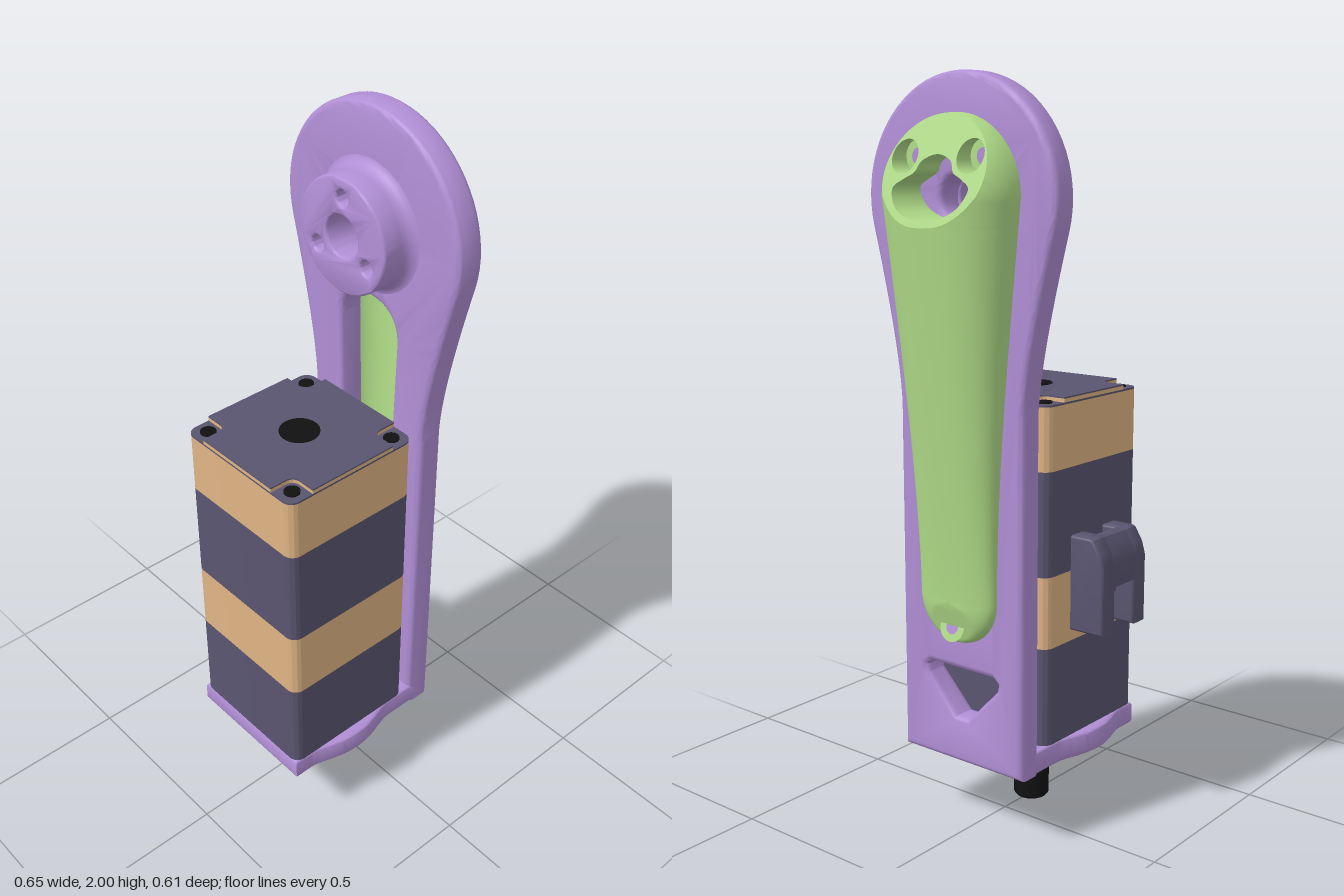
import * as THREE from 'three';
import { toCreasedNormals, mergeVertices } from 'three/addons/utils/BufferGeometryUtils.js';

const mat = (color) => new THREE.MeshStandardMaterial({ color, side: THREE.DoubleSide });
const V2 = (x, y) => new THREE.Vector2(x, y);

export function createModel() {
  const root = new THREE.Group();
  const purple = mat(0xb18fd6), green = mat(0xb0dc88), tan = mat(0xe0b585);
  const dark = mat(0x5a5570), black = mat(0x111111), gold = mat(0xc9a050);

  const add = (name, geo, material, parent = root) => {
    const m = new THREE.Mesh(geo, material);
    m.name = name;
    parent.add(m);
    return m;
  };
  const group = (name) => {
    const g = new THREE.Group();
    g.name = name;
    root.add(g);
    return g;
  };
  const extrude = (shape, depth, b) => toCreasedNormals(new THREE.ExtrudeGeometry(shape, {
    depth: depth - 2 * b, curveSegments: 20, bevelEnabled: b > 0, bevelSize: b,
    bevelThickness: b, bevelOffset: -b, bevelSegments: 4,
  }).translate(0, 0, b), 0.6);
  // outline in (-z, y), thickness along x
  const panel = (shape, x0, x1, b = 0) => extrude(shape, x1 - x0, b).rotateY(Math.PI / 2).translate(x0, 0, 0);
  // outline in (x, -z), thickness along y
  const slab = (shape, y0, y1, b = 0) => extrude(shape, y1 - y0, b).rotateX(-Math.PI / 2).translate(0, y0, 0);
  const circle = (x, y, r) => new THREE.Path().absarc(x, y, r, 0, Math.PI * 2);
  const disc = (x, y, r) => new THREE.Shape(circle(x, y, r).getPoints(24));

  // ---- bracket ----
  const bracket = group('bracket');
  const cy = 1.695, R = 0.305, a = -0.26;
  const plate = new THREE.Shape();
  plate.moveTo(-0.205, 0.2).lineTo(0.205, 0.2).lineTo(0.205, 1.15);
  plate.quadraticCurveTo(0.205, 1.28, R * Math.cos(a), cy + R * Math.sin(a));
  plate.absarc(0, cy, R, a, Math.PI - a);
  plate.quadraticCurveTo(-0.205, 1.28, -0.205, 1.15);
  const slot = new THREE.Path().moveTo(-0.08, 0.7).lineTo(0.08, 0.7).lineTo(0.1, 1.4);
  slot.quadraticCurveTo(0.1, 1.5, 0, 1.5).quadraticCurveTo(-0.1, 1.5, -0.1, 1.4);
  const triangle = new THREE.Path([V2(-0.02, 0.328), V2(0.02, 0.328), V2(0.118, 0.43), V2(0.122, 0.452),
    V2(0.105, 0.465), V2(-0.105, 0.465), V2(-0.122, 0.452), V2(-0.118, 0.43)]);
  plate.holes.push(slot, triangle, circle(0, cy, 0.055));
  add('backPlate', panel(plate, 0.11, 0.188, 0.018), purple, bracket);

  const boss = disc(0, cy, 0.15);
  boss.holes.push(circle(0, cy, 0.055));
  for (let i = 0; i < 3; i++) {
    const t = Math.PI / 2 + i * Math.PI * 2 / 3;
    boss.holes.push(circle(0.1 * Math.cos(t), cy + 0.1 * Math.sin(t), 0.02));
  }
  add('pivotBoss', panel(boss, 0.02, 0.115, 0.008), purple, bracket);
  const fillet = [0, 1, 2, 3, 4, 5, 6].map((i) => {
    const t = i / 6 * Math.PI / 2;
    return V2(0.185 - 0.035 * Math.cos(t), 0.077 + 0.035 * Math.sin(t));
  });
  add('bossFillet', new THREE.LatheGeometry(fillet, 48).rotateZ(-Math.PI / 2).translate(0, cy, 0), purple, bracket);

  const cx = -0.12;
  const base = new THREE.Shape();
  base.moveTo(-0.325, -0.205).lineTo(-0.27, -0.205);
  base.bezierCurveTo(-0.23, -0.205, -0.19, -0.235, cx, -0.235);
  base.bezierCurveTo(-0.05, -0.235, -0.01, -0.205, 0.03, -0.205);
  base.lineTo(0.165, -0.205).lineTo(0.165, 0.205).lineTo(0.03, 0.205);
  base.bezierCurveTo(-0.01, 0.205, -0.05, 0.235, cx, 0.235);
  base.bezierCurveTo(-0.19, 0.235, -0.23, 0.205, -0.27, 0.205);
  base.lineTo(-0.325, 0.205);
  base.holes.push(circle(cx, 0, 0.155));
  for (const sx of [-1, 1]) for (const sz of [-1, 1]) base.holes.push(circle(cx + sx * 0.16, sz * 0.16, 0.02));
  add('basePlate', slab(base, 0.2, 0.265, 0.012), purple, bracket);

  // ---- motor ----
  const motor = group('motor');
  const h = 0.205, r = 0.03;
  const body = new THREE.Shape();
  const notched = new THREE.Shape();
  [[1, 1], [-1, 1], [-1, -1], [1, -1]].forEach(([sx, sz], i) => {
    const t = i * Math.PI / 2;
    body.absarc(cx + sx * (h - r), sz * (h - r), r, t, t + Math.PI / 2);
    // corner pocket, walked counter-clockwise
    const arc = (rx, rz) => [cx + sx * (h - rx), sz * (h - rz)];
    const [p, q] = sx * sz > 0 ? [arc(0, 0.072), arc(0.072, 0)] : [arc(0.072, 0), arc(0, 0.072)];
    const [p2, q2] = sx * sz > 0 ? [arc(0.045, 0.072), arc(0.072, 0.045)] : [arc(0.072, 0.045), arc(0.045, 0.072)];
    if (i) notched.lineTo(...p); else notched.moveTo(...p);
    notched.lineTo(...p2).quadraticCurveTo(...arc(0.072, 0.072), ...q2).lineTo(...q);
    add('cornerScrew', new THREE.CylinderGeometry(0.021, 0.021, 0.006, 24)
      .translate(cx + sx * 0.165, 1.184, sz * 0.165), black, motor);
  });
  [[0.265, 0.535, dark], [0.535, 0.73, tan], [0.73, 1.01, dark], [1.01, 1.178, tan], [1.178, 1.183, dark]]
    .forEach(([y0, y1, m], i) => add('motorBand' + (i + 1), slab(body, y0, y1), m, motor));
  add('topRim', slab(notched, 1.183, 1.193), tan, motor);
  add('topFace', slab(notched, 1.193, 1.197), dark, motor);
  add('topBore', new THREE.CylinderGeometry(0.053, 0.053, 0.004, 40).translate(cx, 1.197, 0), black, motor);
  const ring = disc(cx, 0, 0.148);
  ring.holes.push(circle(cx, 0, 0.115));
  add('pilotRing', slab(ring, 0.212, 0.268), gold, motor);
  const hub = disc(cx, 0, 0.115);
  for (const t of [0.5, 2.6, 4.7]) hub.holes.push(circle(cx + 0.085 * Math.cos(t), 0.085 * Math.sin(t), 0.012));
  add('pilotHub', slab(hub, 0.222, 0.268), dark, motor);
  const shaft = [V2(0, 0), V2(0.044, 0), V2(0.05, 0.008), V2(0.05, 0.27)];
  add('shaft', toCreasedNormals(new THREE.LatheGeometry(shaft, 40), 0.5).translate(cx, 0, 0), black, motor);

  // ---- connector on the rear face ----
  const connector = group('connector');
  const side = new THREE.Shape([V2(0.2, 0.565), V2(0.308, 0.565), V2(0.308, 0.75), V2(0.298, 0.785),
    V2(0.275, 0.822), V2(0.265, 0.826), V2(0.2, 0.826)]);
  const lip = new THREE.Shape([V2(0.25, 0.69), V2(0.308, 0.69), V2(0.308, 0.75), V2(0.298, 0.785),
    V2(0.275, 0.822), V2(0.265, 0.826), V2(0.25, 0.826)]);
  add('rightWall', panel(side, -0.223, -0.163, 0.008), dark, connector);
  add('leftWall', panel(side, -0.08, -0.02, 0.008), dark, connector);
  add('frontLip', panel(lip, -0.172, -0.071), dark, connector);
  for (const x of [-0.13, -0.11]) {
    add('pin', new THREE.BoxGeometry(0.006, 0.13, 0.015).translate(x, 0.68, -0.24), gold, connector);
  }
  add('pinSeat', new THREE.BoxGeometry(0.09, 0.02, 0.05).translate(-0.1215, 0.66, -0.228), dark, connector);

  // ---- domed cover, in a frame of (-z, y, height above plate) ----
  const cover = group('cover');
  const place = (g) => g.rotateY(Math.PI / 2).translate(0.185, 0, 0);
  const yLo = 0.67, yHi = 1.7, n = 2.4, crit = 1.6255;
  const along = (y) => THREE.MathUtils.clamp((y - yLo) / (yHi - yLo), 0, 1);
  const width = (y) => { const t = along(y); return 0.125 + 0.075 * t * t * (1.6 - 0.6 * t); };
  const ridge = (y) => 0.05 + 0.098 * along(y) ** 1.15;
  const cut = (y) => 0.035 + 0.382 * (1.9 - y);
  const toe = (y) => 0.02 + 0.27 * (y - 0.545);

  // half outline: each section runs from a spine height to an edge point
  const half = [];
  for (let i = 0; i < 14; i++) {
    const t = (i / 14 - 1) * Math.PI / 2;
    half.push([yLo, 0.125 * Math.cos(t), yLo + 0.125 * Math.sin(t)]);
  }
  for (let i = 0; i <= 30; i++) { const y = yLo + (crit - yLo) * i / 30; half.push([y, width(y), y]); }
  for (let k = 1; k <= 12; k++) { const y = crit + (yHi - crit) * k * k / 144; half.push([y, width(y), y]); }
  for (let i = 1; i <= 18; i++) {
    const t = i / 18 * Math.PI / 2;
    half.push([yHi, 0.2 * Math.cos(t), yHi + 0.2 * Math.sin(t)]);
  }
  const sections = [...half, ...half.slice(1, -1).reverse().map(([s, u, y]) => [s, -u, y])];

  const pos = [], idx = [], rim = [], M = 16;
  sections.forEach(([s, u, y], i) => {
    const yAt = (f) => s + (y - s) * f;
    const dome = (f) => ridge(s) * Math.max(0, 1 - f ** n) ** (1 / n);
    // where the slanted top plane trims this section
    let f0 = 0;
    if (s > crit) {
      let hi = 1;
      for (let k = 0; k < 30; k++) {
        const m = (f0 + hi) / 2;
        if (dome(m) > cut(yAt(m))) f0 = m; else hi = m;
      }
      rim.push(V2(u * f0, yAt(f0)));
    }
    const t0 = Math.asin(f0 ** (n / 2));
    for (let j = 0; j <= M; j++) {
      const t = t0 + (Math.PI / 2 - t0) * j / M;
      const f = Math.sin(t) ** (2 / n);
      pos.push(u * f, yAt(f), Math.min(j === M ? 0 : dome(f), toe(yAt(f))));
      if (j < M) {
        const p = i * (M + 1) + j, q = ((i + 1) % sections.length) * (M + 1) + j;
        idx.push(p, p + 1, q + 1, p, q + 1, q);
      }
    }
  });
  let shell = new THREE.BufferGeometry();
  shell.setAttribute('position', new THREE.Float32BufferAttribute(pos, 3));
  shell.setIndex(idx);
  shell = mergeVertices(shell, 1e-5);
  shell.computeVertexNormals();
  add('coverShell', place(shell), green, cover);

  // slanted top face with a centre opening and two screw pockets
  const openHalf = [[0, 1.642], [0.05, 1.648], [0.1, 1.674], [0.122, 1.718], [0.09, 1.742], [0.062, 1.757], [0.045, 1.785], [0, 1.8]];
  const opening = new THREE.SplineCurve([...openHalf, ...openHalf.slice(1, -1).reverse().map(([u, y]) => [-u, y]), openHalf[0]]
    .map(([u, y]) => V2(u, y))).getPoints(72);
  const pockets = [-1, 1].map((s) => circle(s * 0.105, 1.795, 0.042).getPoints(28));
  const cap = new THREE.Shape(rim);
  for (const loop of [opening, ...pockets]) cap.holes.push(new THREE.Path(loop));
  const capGeo = new THREE.ShapeGeometry(cap);
  const cp = capGeo.attributes.position;
  for (let i = 0; i < cp.count; i++) cp.setZ(i, cut(cp.getY(i)));
  capGeo.computeVertexNormals();
  add('coverTopFace', place(capGeo), green, cover);

  const wall = (loop, floor) => {
    const p = [], ix = [];
    loop.forEach((v, i) => {
      p.push(v.x, v.y, floor, v.x, v.y, cut(v.y));
      if (i) ix.push(2 * i - 2, 2 * i - 1, 2 * i, 2 * i, 2 * i - 1, 2 * i + 1);
    });
    const g = new THREE.BufferGeometry();
    g.setAttribute('position', new THREE.Float32BufferAttribute(p, 3));
    g.setIndex(ix);
    g.computeVertexNormals();
    return place(g);
  };
  add('openingWall', wall(opening, 0), green, cover);
  pockets.forEach((loop, i) => {
    const u = (i * 2 - 1) * 0.105;
    add('screwPocketWall', wall(loop, 0.025), green, cover);
    add('screwPocketFloor', place(new THREE.CircleGeometry(0.042, 28).translate(u, 1.795, 0.025)), green, cover);
    add('screwHole', place(new THREE.CircleGeometry(0.021, 24).translate(u, 1.795, 0.027)), purple, cover);
  });
  // lower screw seat
  const tilt = -Math.atan(0.27);
  const seat = (g, lift) => place(g.rotateX(tilt).translate(0, 0.595, toe(0.595) + lift));
  add('lowerScrewSeat', seat(new THREE.RingGeometry(0.02, 0.04, 32), 0.002), green, cover);
  add('lowerScrewHole', seat(new THREE.CircleGeometry(0.021, 24), 0.0015), purple, cover);

  return root;
}
